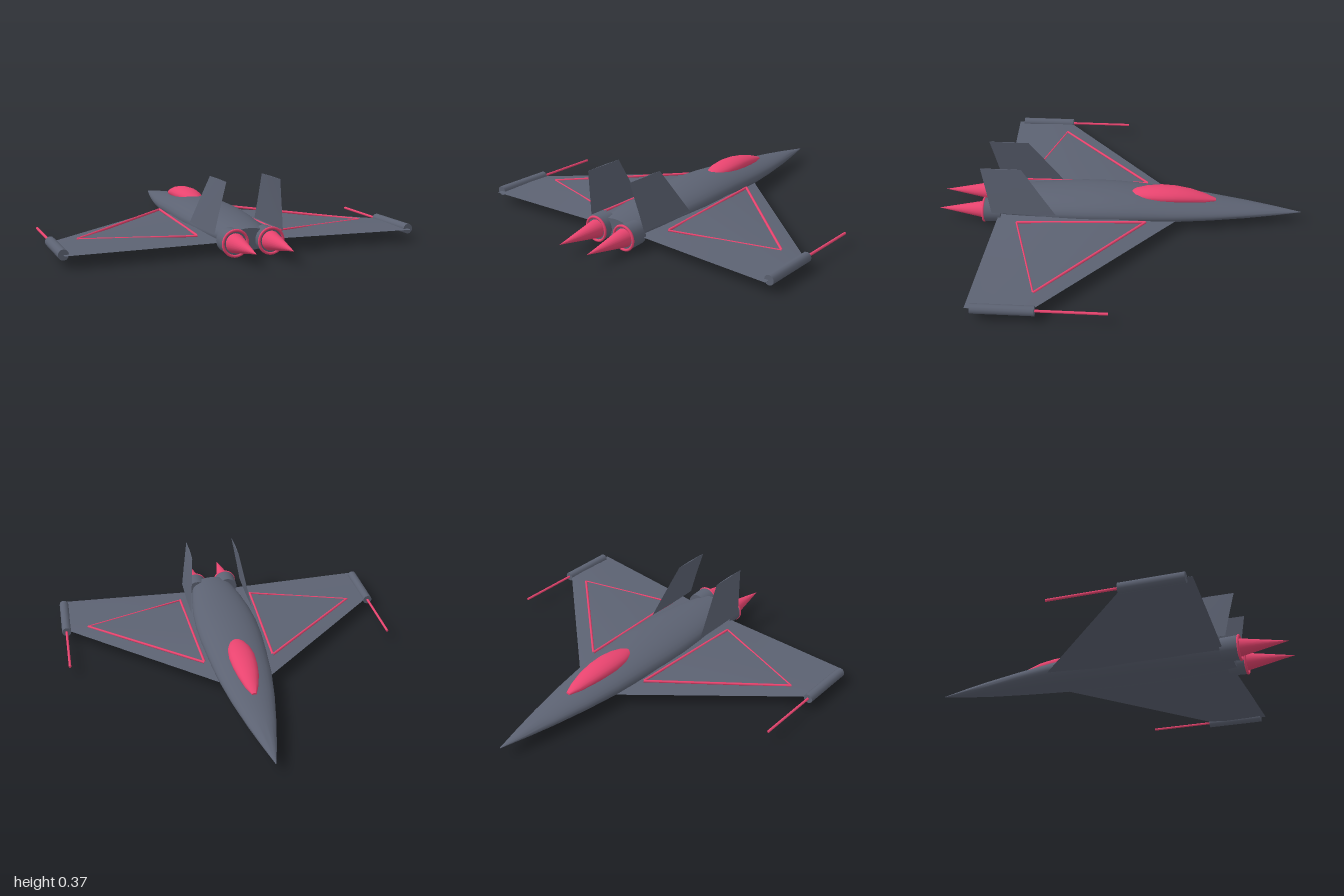
import * as THREE from 'three';
import { toCreasedNormals } from 'three/addons/utils/BufferGeometryUtils.js';

const hull = new THREE.MeshStandardMaterial({ color: 0x5c6272 });
const accent = new THREE.MeshStandardMaterial({ color: 0xe8446f });

// Skin a list of closed rings (equal point counts) and cap both ends.
function loft(rings, flip = false, crease = 0.6) {
  const n = rings[0].length, pos = rings.flat(2), index = [];
  const tri = (a, b, c) => (flip ? index.push(a, c, b) : index.push(a, b, c));
  for (let i = 0; i < rings.length - 1; i++) {
    for (let j = 0; j < n; j++) {
      const a = i * n + j, b = i * n + (j + 1) % n;
      tri(a, b, a + n);
      tri(b, b + n, a + n);
    }
  }
  const end = (rings.length - 1) * n;
  for (let j = 1; j < n - 1; j++) {
    tri(0, j + 1, j);
    tri(end, end + j, end + j + 1);
  }
  const g = new THREE.BufferGeometry();
  g.setAttribute('position', new THREE.Float32BufferAttribute(pos, 3));
  g.setIndex(index);
  return toCreasedNormals(g, crease);
}

// Body of elliptical sections: [z, half width, bottom y, top y]
function ellipseBody(sections, sides) {
  return loft(sections.map(([z, w, y0, y1]) => Array.from({ length: sides }, (_, j) => {
    const a = (j / sides) * Math.PI * 2;
    return [w * Math.cos(a), (y0 + y1) / 2 + (y1 - y0) / 2 * Math.sin(a), z];
  })));
}

function add(parent, name, geometry, material) {
  const mesh = new THREE.Mesh(geometry, material);
  mesh.name = name;
  parent.add(mesh);
  return mesh;
}

// Cylinder or cone lying along z, between z0 (radius r0) and z1 (radius r1)
function rod(r0, r1, z0, z1, sides, x, y) {
  return new THREE.CylinderGeometry(r1, r0, z1 - z0, sides)
    .rotateX(Math.PI / 2).translate(x, y, (z0 + z1) / 2);
}

// Straight thin strip between two points
function strip(a, b, r) {
  return new THREE.TubeGeometry(new THREE.LineCurve3(a, b), 1, r, 8);
}

function buildSide(s) {
  const side = new THREE.Group();
  side.name = s > 0 ? 'leftSide' : 'rightSide';

  // Delta wing: [x, leading z, trailing z, top y, bottom y]
  const wing = [
    [0.10, -0.34, 0.66, 0.097, 0.052],
    [0.20, -0.25, 0.667, 0.094, 0.054],
    [0.55, 0.06, 0.684, 0.083, 0.058],
    [0.905, 0.375, 0.70, 0.072, 0.062],
  ].map(([x, l, t, y1, y0]) => {
    const at = (k, y) => [s * x, y, l + (t - l) * k];
    return [at(0, 0.07), at(0.3, y1), at(0.7, y1 - 0.003), at(1, 0.068), at(0.7, y0 + 0.002), at(0.3, y0)];
  });
  add(side, 'wing', loft(wing, s < 0), hull);

  // Triangle of trim on the wing
  const corners = [[0.19, 0.1, -0.15], [0.78, 0.075, 0.38], [0.215, 0.085, 0.55]]
    .map(([x, y, z]) => new THREE.Vector3(s * x, y, z));
  corners.forEach((c, i) => add(side, 'wingTrim', strip(c, corners[(i + 1) % 3], i === 1 ? 0.005 : 0.007), accent));

  // Wingtip pod with forward barrel
  add(side, 'tipPod', rod(0.026, 0.026, 0.355, 0.67, 12, s * 0.905, 0.068), hull);
  add(side, 'tipBarrel', rod(0.007, 0.007, 0, 0.36, 8, s * 0.905, 0.068), accent);

  // Inward-leaning tail fin: [y, x, leading z, trailing z]
  const fin = [
    [0.115, 0.18, 0.338, 0.69],
    [0.21, 0.166, 0.405, 0.707],
    [0.375, 0.139, 0.52, 0.74],
  ].map(([y, x, l, t]) => {
    const m = l + (t - l) * 0.45;
    return [[s * x, y, t], [s * (x + 0.003), y, m], [s * x, y, l], [s * (x - 0.003), y, m]];
  });
  add(side, 'tailFin', loft(fin, s < 0), hull);

  // Engine nozzle, glowing ring and exhaust cone
  const ex = s * 0.093, ey = 0.078;
  add(side, 'engineNozzle', rod(0.062, 0.066, 0.65, 0.742, 24, ex, ey), hull);
  add(side, 'nozzleRing', new THREE.TorusGeometry(0.063, 0.007, 8, 28).translate(ex, ey, 0.746), accent);
  add(side, 'exhaustCone', rod(0.05, 0, 0.735, 1, 24, ex, ey), accent);
  return side;
}

export function createModel() {
  const model = new THREE.Group();
  model.name = 'aircraft';

  // Fuselage from the nose tip to the tail
  add(model, 'fuselage', ellipseBody([
    [-1, 0.002, 0.068, 0.072],
    [-0.85, 0.04, 0.054, 0.095],
    [-0.7, 0.075, 0.044, 0.114],
    [-0.5, 0.115, 0.036, 0.135],
    [-0.3, 0.146, 0.029, 0.156],
    [-0.1, 0.164, 0.022, 0.174],
    [0.05, 0.174, 0.019, 0.18],
    [0.2, 0.176, 0.018, 0.178],
    [0.35, 0.168, 0.018, 0.17],
    [0.5, 0.15, 0.02, 0.16],
    [0.62, 0.13, 0.023, 0.148],
    [0.7, 0.11, 0.028, 0.138],
  ], 28), hull);

  // Cockpit canopy
  add(model, 'canopy', ellipseBody([
    [-0.53, 0.012, 0.125, 0.142],
    [-0.47, 0.036, 0.12, 0.165],
    [-0.39, 0.055, 0.12, 0.188],
    [-0.31, 0.066, 0.12, 0.2],
    [-0.23, 0.07, 0.12, 0.203],
    [-0.15, 0.062, 0.125, 0.195],
    [-0.09, 0.044, 0.135, 0.182],
    [-0.06, 0.018, 0.15, 0.172],
  ], 20), accent);

  model.add(buildSide(1), buildSide(-1));
  return model;
}
